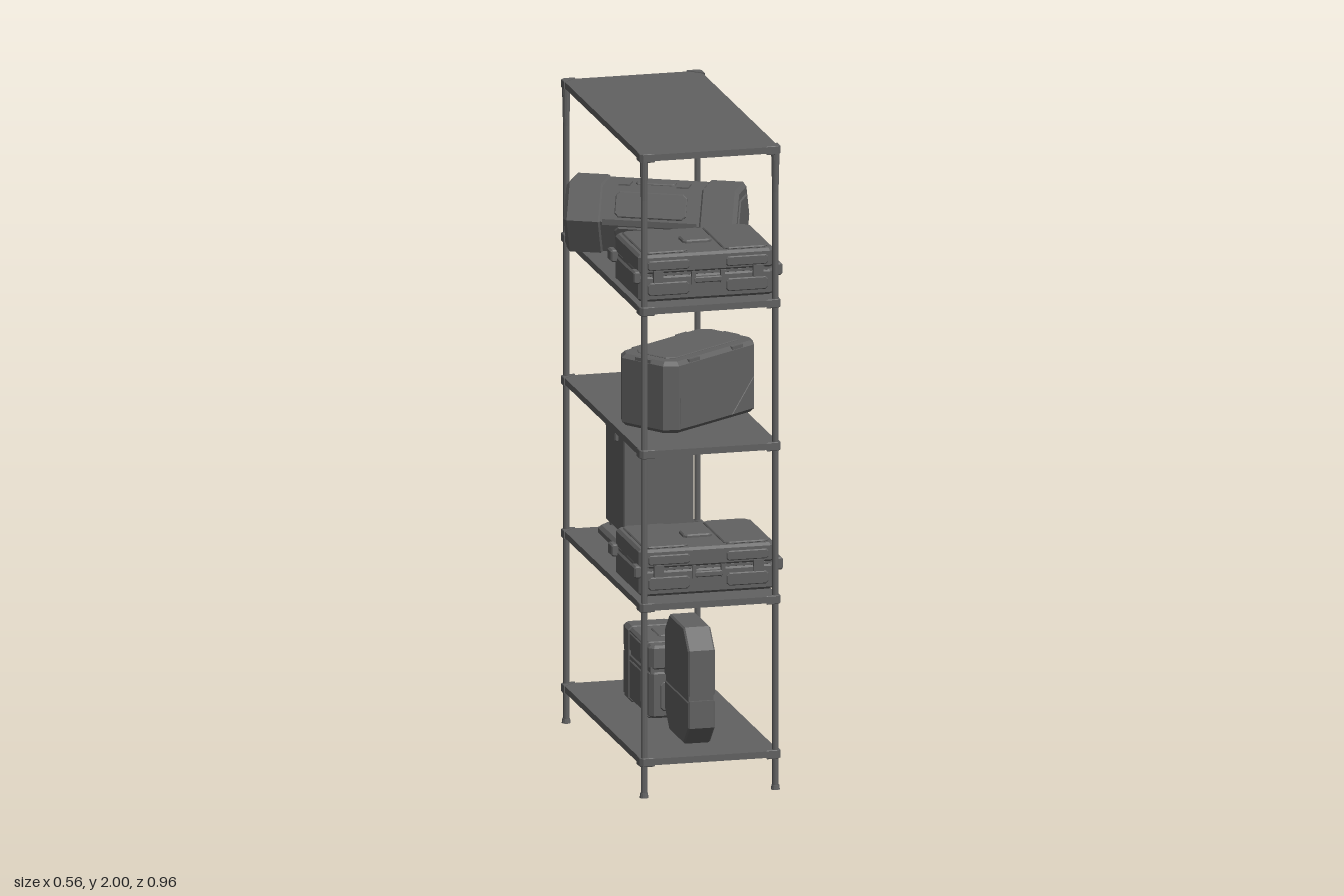
import * as THREE from 'three';

const mat = new THREE.MeshStandardMaterial({ color: 0x616161, flatShading: true });

function add(parent, name, geo, x = 0, y = 0, z = 0) {
  const m = new THREE.Mesh(geo, mat);
  m.name = name;
  m.position.set(x, y, z);
  parent.add(m);
  return m;
}

function group(parent, name, x, y, z, turn = 0) {
  const g = new THREE.Group();
  g.name = name;
  g.position.set(x, y, z);
  g.rotation.y = THREE.MathUtils.degToRad(turn);
  parent.add(g);
  return g;
}

// outline extruded along z, centred, with a single flat bevel of size b
function prism(pts, depth, b = 0) {
  const shape = new THREE.Shape(pts.map(p => new THREE.Vector2(p[0], p[1])));
  const geo = new THREE.ExtrudeGeometry(shape, {
    depth: depth - 2 * b, bevelEnabled: b > 0, bevelSize: b, bevelOffset: -b,
    bevelThickness: b, bevelSegments: 1,
  });
  return geo.translate(0, 0, -(depth - 2 * b) / 2);
}

// rectangle with cut corners
function cutRect(w, h, c) {
  const a = w / 2, b = h / 2;
  return [[a - c, -b], [a, -b + c], [a, b - c], [a - c, b],
    [-a + c, b], [-a, b - c], [-a, -b + c], [-a + c, -b]];
}

const box = (w, h, d) => new THREE.BoxGeometry(w, h, d);
const block = (w, h, d, c = 0.01, b = c) => prism(cutRect(w, h, c), d, b);
const slab = (w, h, d, c, b) => prism(cutRect(w, d, c), h, b).rotateX(-Math.PI / 2);

const SIDES = [-1, 1];
const SHELVES = [0.11, 0.59, 1.066, 1.51, 1.986];

function buildRack(root) {
  const rack = group(root, 'rack', -0.005, 0, -0.002);
  SHELVES.forEach(y => {
    add(rack, 'shelf', box(0.428, 0.02, 0.948), 0, y, 0);
  });
  for (const sx of SIDES) for (const sz of SIDES) {
    const x = sx * 0.204, z = sz * 0.466;
    add(rack, 'post', new THREE.CylinderGeometry(0.01, 0.01, 1.98, 12), x, 0.99, z);
    add(rack, 'foot', new THREE.CylinderGeometry(0.012, 0.014, 0.014, 12), x, 0.007, z);
    add(rack, 'topSleeve', new THREE.CylinderGeometry(0.013, 0.01, 0.12, 12), x, 1.915, z);
    // triangular corner caps with a blunted outer corner
    SHELVES.forEach(y => {
      const pts = [[0.219, 0.434], [0.219, 0.469], [0.209, 0.478], [0.173, 0.478]]
        .map(p => [p[0] * sx, -p[1] * sz]);
      if (sx * sz > 0) pts.reverse();
      add(rack, 'cornerCap', prism(pts, 0.027, 0.002).rotateX(-Math.PI / 2), 0, y, 0);
    });
  }
}

// wide flat case: two shells, raised pads, latches and handle
function buildFlatCase(root, x, y, z) {
  const g = group(root, 'flatCase', x, y, z);
  add(g, 'baseShell', slab(0.425, 0.08, 0.304, 0.018, 0.008), 0, 0.046, 0);
  add(g, 'lidShell', slab(0.425, 0.06, 0.304, 0.018, 0.008), 0, 0.12, 0);
  add(g, 'seam', slab(0.415, 0.012, 0.294, 0.018, 0.002), 0, 0.088, 0);
  for (const s of SIDES) {
    add(g, 'lidPad', slab(0.14, 0.008, 0.27, 0.015, 0.003), s * 0.125, 0.152, 0);
    add(g, 'footPad', slab(0.13, 0.012, 0.13, 0.015, 0.004), s * 0.125, 0.006, 0);
    for (const t of SIDES) {
      add(g, 'sidePad', block(0.13, 0.04, 0.008, 0.008, 0.003), s * 0.122, 0.045, t * 0.152);
      add(g, 'lidSidePad', block(0.13, 0.03, 0.008, 0.006, 0.003), s * 0.122, 0.118, t * 0.152);
      add(g, 'sideLatch', box(0.03, 0.036, 0.014), s * 0.155, 0.085, t * 0.156);
      add(g, 'endLatch', block(0.022, 0.038, 0.045, 0.005, 0.004), s * 0.22, 0.085, t * 0.137);
    }
  }
  add(g, 'lidBridge', slab(0.09, 0.014, 0.07, 0.01, 0.004), 0, 0.153, 0);
  add(g, 'frontHandle', block(0.09, 0.018, 0.01, 0.004, 0.003), 0, 0.068, 0.157);
  for (const s of SIDES) add(g, 'handleMount', box(0.012, 0.04, 0.01), s * 0.045, 0.075, 0.156);
}

// six-sided long case lying at a turn
function buildHexCase(root) {
  const g = group(root, 'hexCase', 0, 1.627, -0.193, -27);
  const hex = (w, h) => [[w / 2, 0], [w * 0.28, h / 2], [-w * 0.28, h / 2],
    [-w / 2, 0], [-w * 0.28, -h / 2], [w * 0.28, -h / 2]];
  const along = (pts, d, b) => prism(pts, d, b).rotateY(Math.PI / 2);
  add(g, 'body', along(hex(0.196, 0.204), 0.48, 0.004));
  for (const s of SIDES) {
    add(g, 'endCap', along(hex(0.208, 0.215), 0.12, 0.012), s * 0.206);
    add(g, 'endPlate', along(hex(0.15, 0.15), 0.012, 0.004), s * 0.264);
    add(g, 'topLatch', box(0.035, 0.016, 0.05), s * 0.09, 0.099, 0.02);
    add(g, 'sideRail', box(0.29, 0.018, 0.012), 0, 0, s * 0.094);
    // panels laid on the sloping sides
    for (const t of SIDES) {
      const p = add(g, 'slopePanel', block(0.22, 0.08, 0.012, 0.012, 0.003), 0, t * 0.051, s * 0.076);
      p.rotation.x = -s * t * 0.4;
    }
  }
  add(g, 'topHandle', slab(0.12, 0.012, 0.045, 0.008, 0.003), 0, 0.101, 0);
}

// tall crate with cut corners, side wedges and rim clips
function buildCrate(root) {
  const g = group(root, 'crate', 0.019, 1.077, 0.105, 35);
  add(g, 'body', slab(0.416, 0.222, 0.23, 0.034, 0.012), 0, 0.112, 0);
  add(g, 'lidPanel', slab(0.33, 0.005, 0.15, 0.02, 0.002), 0, 0.2235, 0);
  for (const s of SIDES) {
    for (const t of SIDES) {
      add(g, 'rimClip', box(0.05, 0.014, 0.012), t * 0.1, 0.215, s * 0.108);
      const tri = t > 0 ? [[0, 0], [0.1, 0], [0.1, 0.1]] : [[0, 0], [-0.1, 0.1], [-0.1, 0]];
      add(g, 'sideWedge', prism(tri, 0.006, 0.002), t * 0.07, 0.013, s * 0.115);
    }
    add(g, 'endClip', box(0.012, 0.014, 0.06), s * 0.201, 0.215, 0);
  }
}

// square tower on a rounded base
function buildTower(root) {
  const g = group(root, 'tower', -0.002, 0.6, -0.266);
  add(g, 'basePlate', slab(0.27, 0.034, 0.27, 0.035, 0.01), 0, 0.019, 0);
  add(g, 'body', block(0.217, 0.37, 0.218, 0.003, 0.003), 0, 0.235, 0);
  for (const s of SIDES) {
    for (const t of SIDES) {
      add(g, 'pillar', new THREE.CylinderGeometry(0.011, 0.011, 0.03, 8), s * 0.09, 0.043, t * 0.09);
    }
    // side grips: a lip over a smaller pocket
    add(g, 'gripLip', box(0.016, 0.012, 0.115), s * 0.114, 0.362, 0);
    add(g, 'gripPocket', block(0.014, 0.03, 0.085, 0.004, 0.003), s * 0.112, 0.342, 0);
  }
}

// thin eight-sided case standing on edge, split below the middle
function buildOctagonCase(root) {
  const g = group(root, 'octagonCase', -0.012, 0.277, 0.253, 90);
  const shell = (dir, h) => {
    const p = [[0.143, 0.008], [0.143, h - 0.06], [0.085, h], [-0.085, h], [-0.143, h - 0.06], [-0.143, 0.008]];
    return dir > 0 ? p : p.map(q => [q[0], -q[1]]).reverse();
  };
  add(g, 'core', box(0.27, 0.04, 0.078));
  add(g, 'upperShell', prism(shell(1, 0.209), 0.084, 0.005));
  add(g, 'lowerShell', prism(shell(-1, 0.152), 0.084, 0.005));
}

// upright trunk with straps around it
function buildTrunk(root) {
  const g = group(root, 'trunk', -0.007, 0.12, -0.13);
  add(g, 'lowerShell', slab(0.145, 0.146, 0.325, 0.014, 0.008), 0, 0.08, 0);
  add(g, 'upperShell', slab(0.145, 0.076, 0.325, 0.014, 0.008), 0, 0.194, 0);
  add(g, 'seam', box(0.137, 0.02, 0.315), 0, 0.155, 0);
  for (const s of SIDES) {
    add(g, 'strap', block(0.154, 0.236, 0.045, 0.012, 0.003), 0, 0.118, s * 0.1);
    add(g, 'lowerPanel', block(0.008, 0.1, 0.14, 0.003, 0.002), s * 0.072, 0.085, 0);
    add(g, 'upperPanel', block(0.008, 0.05, 0.14, 0.003, 0.002), s * 0.072, 0.195, 0);
    add(g, 'endPanel', block(0.08, 0.09, 0.008, 0.01, 0.003), 0, 0.075, s * 0.162);
    add(g, 'endLatch', box(0.05, 0.022, 0.008), 0, 0.155, s * 0.162);
  }
  add(g, 'topHandle', slab(0.03, 0.01, 0.1, 0.006, 0.003), 0, 0.231, 0);
}

export function createModel() {
  const root = new THREE.Group();
  root.name = 'storageRack';
  buildRack(root);
  buildFlatCase(root, 0.004, 0.602, 0.26);
  buildFlatCase(root, -0.003, 1.522, 0.28);
  buildHexCase(root);
  buildCrate(root);
  buildTower(root);
  buildOctagonCase(root);
  buildTrunk(root);
  return root;
}
